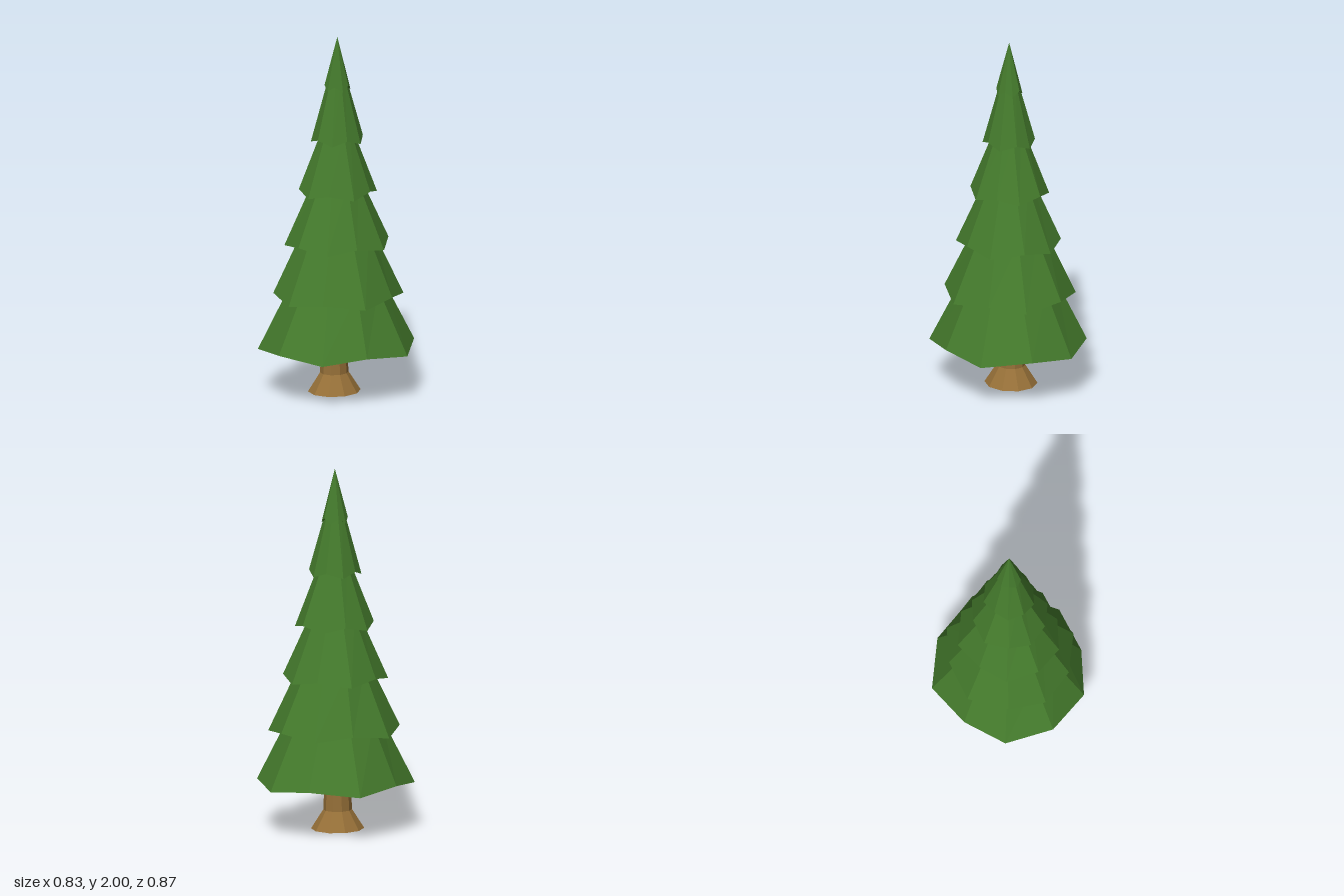
import * as THREE from 'three';

const SIDES = 10;
const green = new THREE.MeshStandardMaterial({ color: 0x447a2c, flatShading: true, side: THREE.DoubleSide });
const brown = new THREE.MeshStandardMaterial({ color: 0x967038, flatShading: true });

// Skirt of branches: jagged rim, sloping roof and shallow hollow underside
function branchTier(radius, y, apexY, topY, parity) {
  const keep = (apexY - topY) / (apexY - y);
  const rim = [], top = [];
  for (let i = 0; i < SIDES; i++) {
    const a = (i / SIDES) * Math.PI * 2; // starts at the back
    const long = i % 2 === parity;
    // every other corner is raised and pulled in sideways
    const x = Math.sin(a) * radius * (long ? 1 : 0.92);
    const z = -Math.cos(a) * radius;
    rim.push([x, long ? y : y + 0.027, z]);
    top.push([Math.sin(a) * radius * keep, topY, -Math.cos(a) * radius * keep]);
  }
  const hollow = [0, y + 0.29 * radius, 0];
  const pos = [];
  for (let i = 0; i < SIDES; i++) {
    const j = (i + 1) % SIDES;
    pos.push(...rim[i], ...top[i], ...rim[j]);
    if (keep > 0) pos.push(...rim[j], ...top[i], ...top[j]);
    pos.push(...rim[j], ...hollow, ...rim[i]);
  }
  const geo = new THREE.BufferGeometry();
  geo.setAttribute('position', new THREE.Float32BufferAttribute(pos, 3));
  geo.computeVertexNormals();
  return new THREE.Mesh(geo, green);
}

function trunkPart(name, rTop, rBottom, y0, y1, xScale) {
  const mesh = new THREE.Mesh(new THREE.CylinderGeometry(rTop, rBottom, y1 - y0, SIDES), brown);
  mesh.scale.x = xScale;
  mesh.position.set(-0.02, (y0 + y1) / 2, 0.004);
  mesh.name = name;
  return mesh;
}

export function createModel() {
  const tree = new THREE.Group();
  tree.name = 'pineTree';

  // Trunk with flared foot
  const trunk = new THREE.Group();
  trunk.name = 'trunk';
  trunk.add(trunkPart('trunkFoot', 0.08, 0.148, 0, 0.105, 0.94));
  trunk.add(trunkPart('trunkShaft', 0.066, 0.08, 0.105, 0.42, 0.94));
  tree.add(trunk);

  // Six tiers, each turned by one corner from the one below
  const foliage = new THREE.Group();
  foliage.name = 'foliage';
  const apexes = [1.12, 1.32, 1.49, 1.7, 1.95, 2];
  apexes.forEach((apex, i) => {
    const y = 0.252 + i * 0.2905;
    const last = i === apexes.length - 1;
    const tier = branchTier(0.436 - i * 0.0727, y, apex, last ? apex : y + 0.36, i % 2);
    tier.name = `branchTier${i + 1}`;
    foliage.add(tier);
  });
  tree.add(foliage);
  return tree;
}
